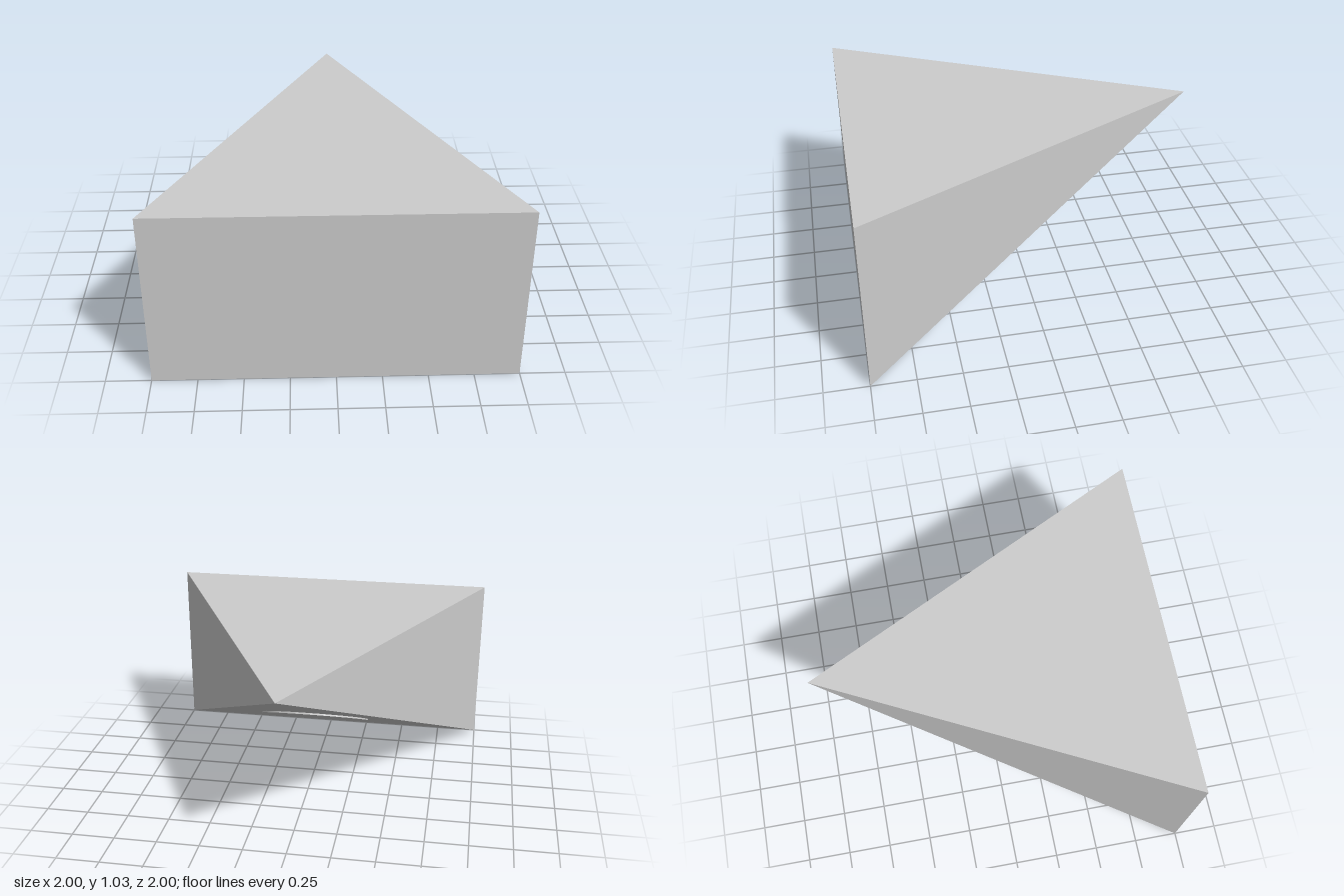
import * as THREE from 'three';
import { ConvexGeometry } from 'three/addons/geometries/ConvexGeometry.js';

const HEIGHT = 1.035;

export function createModel() {
  const group = new THREE.Group();
  const material = new THREE.MeshStandardMaterial({ color: 0xcccccc });

  const add = (name, geometry) => {
    const mesh = new THREE.Mesh(geometry, material);
    mesh.name = name;
    group.add(mesh);
    return mesh;
  };

  // Wedge body: upright rectangular front tapering to a point at the top back
  const corners = [[-1, 0, 1], [1, 0, 1], [1, HEIGHT, 1], [-1, HEIGHT, 1], [0, HEIGHT, -1]];
  add('wedgeBody', new ConvexGeometry(corners.map((c) => new THREE.Vector3(...c))));

  // Thin round pad lying on the sloping underside
  const pad = add('undersidePad', new THREE.CylinderGeometry(0.333, 0.333, 0.012, 64));
  pad.position.set(0, 0.374, 0.273);
  pad.rotation.x = THREE.MathUtils.degToRad(27);

  return group;
}
